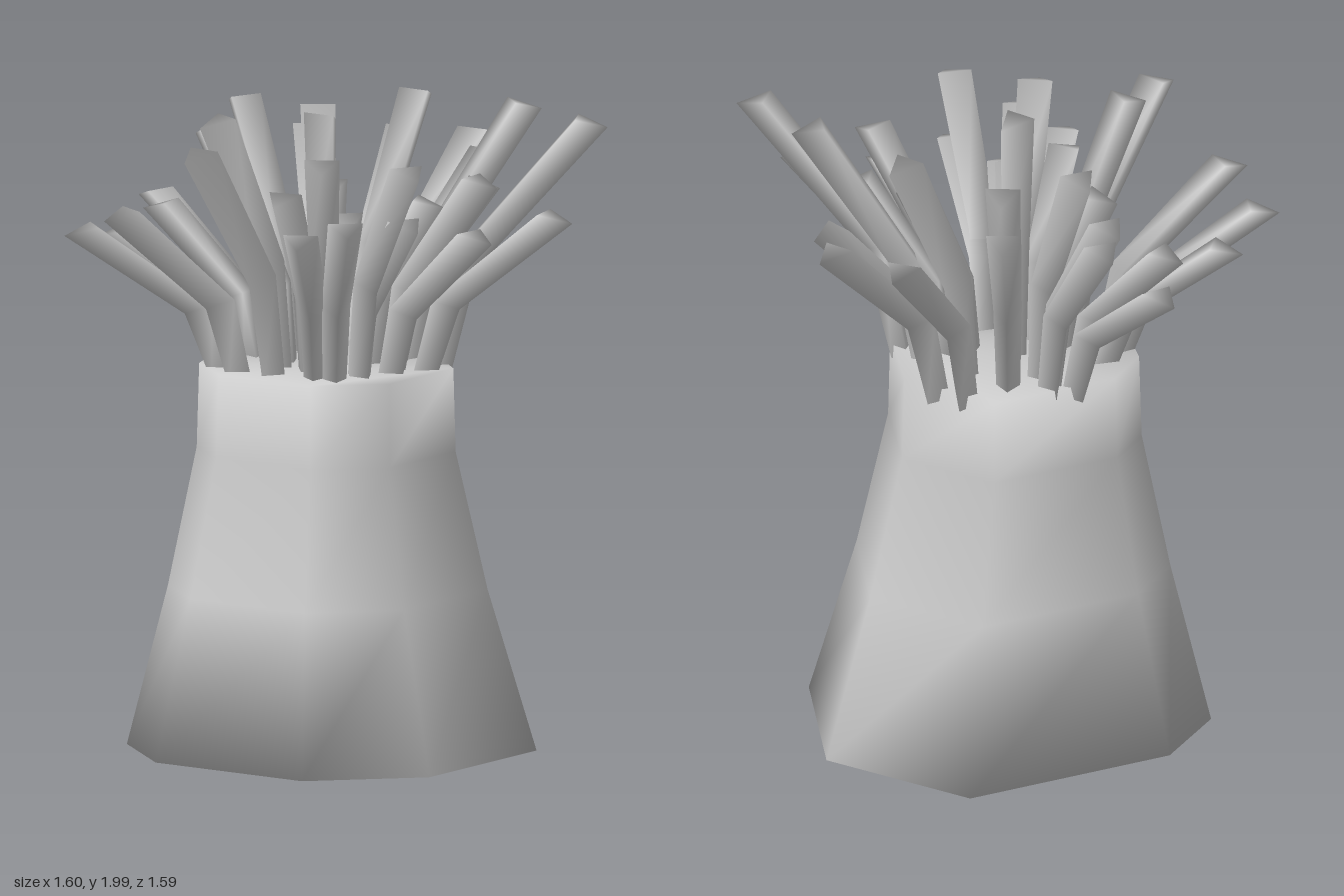
import * as THREE from 'three';

const material = new THREE.MeshStandardMaterial({ color: 0xcccccc });
const TOP = 1.19;

// Closed loft through rings of Vector3, counterclockwise seen from the far end, smooth all over
function loft(rings) {
  const n = rings[0].length, idx = [];
  const pos = rings.flat().flatMap(p => [p.x, p.y, p.z]);
  for (let r = 0; r < rings.length - 1; r++) {
    for (let i = 0; i < n; i++) {
      const a = r * n + i, b = r * n + (i + 1) % n;
      idx.push(a, b, b + n, a, b + n, a + n);
    }
  }
  const end = (rings.length - 1) * n;
  for (let i = 1; i < n - 1; i++) {
    idx.push(0, i + 1, i, end, end + i, end + i + 1);
  }
  const g = new THREE.BufferGeometry();
  g.setAttribute('position', new THREE.Float32BufferAttribute(pos, 3));
  g.setIndex(idx);
  g.computeVertexNormals();
  return g;
}

// Trunk: an irregular octagon scaled from a wide foot to a narrow neck
function makeTrunk() {
  const foot = [[0.615, -0.14], [0.18, -0.56], [-0.36, -0.51], [-0.59, 0.16],
    [-0.49, 0.47], [-0.25, 0.67], [0.29, 0.67], [0.58, 0.4]];
  // height, x scale, z scale, z centre
  const levels = [[0, 1, 1, 0.055], [0.5, 0.78, 0.78, 0.08], [0.93, 0.64, 0.61, 0.095], [TOP, 0.63, 0.595, 0.095]];
  const rings = levels.map(([y, sx, sz, cz]) =>
    foot.map(([x, z]) => new THREE.Vector3(x * sx, y, (z - 0.055) * sz + cz)));
  const trunk = new THREE.Mesh(loft(rings), material);
  trunk.name = 'trunk';
  return trunk;
}

// Branch: three-sided with a ridge on the outside, bent once, thicker toward a tip cut almost level
function makeBranch([x, y, z]) {
  const centre = new THREE.Vector3(0, 0, 0.1);
  const out = new THREE.Vector3(x, 0, z - centre.z).normalize();
  const side = new THREE.Vector3(out.z, 0, -out.x);
  const tip = new THREE.Vector3(x, y, z).addScaledVector(out, -0.063);
  const along = (f, h) => centre.clone().lerp(tip, f).setY(h);
  const base = along(0.42, TOP - 0.04);
  const knee = along(0.52, TOP + 0.42 * (y - TOP));
  // triangle ring: half width across, length outward, drop of the outer corner
  const ring = (p, w, l, drop) => {
    const v = out.clone().multiplyScalar(l).setY(-drop);
    return [[0, 2 / 3], [1, -1 / 3], [-1, -1 / 3]].map(([a, b]) =>
      p.clone().addScaledVector(side, a * w).addScaledVector(v, b));
  };
  return new THREE.Mesh(loft([
    ring(base, 0.036, 0.062, 0.01),
    ring(knee, 0.044, 0.075, 0.03),
    ring(tip, 0.054, 0.095, 0.03),
  ]), material);
}

// Outermost point of each branch tip
const tips = [
  [0, 1.78, -0.80], [-0.26, 1.77, -0.76], [0.17, 1.76, -0.63], [0.02, 1.96, -0.45],
  [0.46, 1.97, -0.40], [0.44, 1.75, -0.20], [0.77, 1.96, -0.30], [0.80, 1.70, -0.06],
  [0.61, 1.81, 0.07], [0.67, 1.66, 0.19], [0.58, 1.89, 0.46], [0.53, 1.71, 0.39],
  [0.28, 1.70, 0.38], [0.30, 1.90, 0.58], [0.31, 1.69, 0.73], [0.48, 1.74, 0.70],
  [-0.07, 1.93, 0.78], [-0.36, 1.72, 0.79], [-0.56, 1.64, 0.71], [-0.62, 1.59, 0.47],
  [-0.61, 1.64, 0.20], [-0.80, 1.62, -0.06], [-0.68, 1.78, -0.21], [-0.63, 1.82, -0.12],
  [-0.50, 1.94, -0.11], [-0.43, 1.81, -0.44], [-0.32, 1.90, -0.32], [-0.30, 1.74, 0.25],
  [-0.20, 1.98, 0.50], [0.07, 1.76, 0.50], [0, 1.96, 0.05], [0.13, 1.77, 0.26],
  [0.34, 1.70, -0.05],
];

export function createModel() {
  const model = new THREE.Group();
  model.name = 'cutTree';
  model.add(makeTrunk());
  const branches = new THREE.Group();
  branches.name = 'branches';
  tips.forEach((tip, i) => {
    const branch = makeBranch(tip);
    branch.name = `branch${i + 1}`;
    branches.add(branch);
  });
  model.add(branches);
  return model;
}
